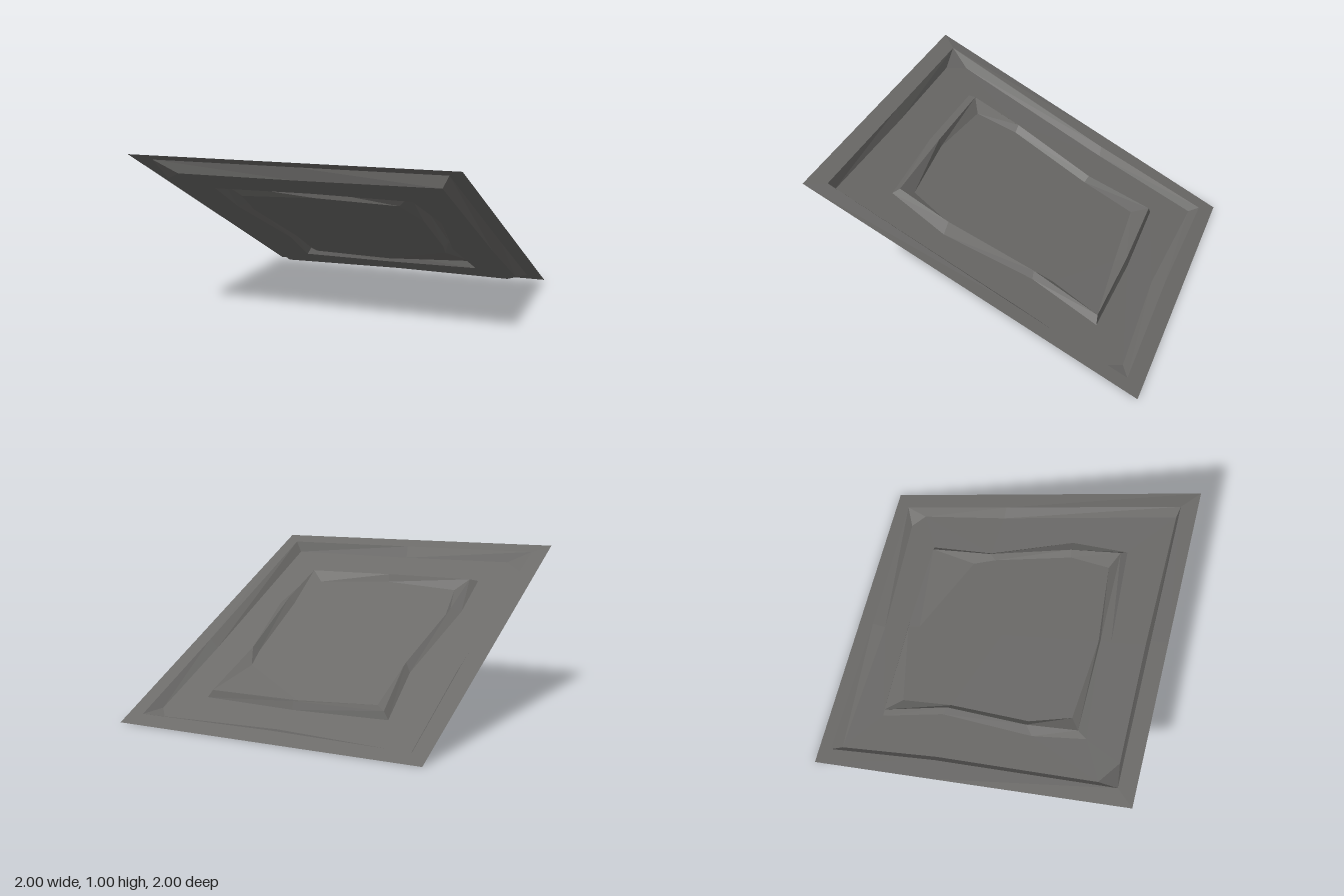
import * as THREE from 'three';

// Each loop runs clockwise from the back-left corner: [x, z] pairs seen from above.
const rimEdge = [[-1, -1], [0, -1], [1, -1], [1, -1], [1, -0.2], [1, 1], [0, 1], [-1, 1], [-1, 1], [-1, -0.2]];
const trayTop = [[-0.9, -0.915], [0, -0.9], [0.9, -0.91], [0.9, -0.91], [0.9, -0.2],
  [0.9, 0.9], [0, 0.9], [-0.9, 0.9], [-0.9, 0.9], [-0.88, -0.2]];
const trayFoot = [[-0.865, -0.85], [0, -0.815], [0.78, -0.85], [0.855, -0.77], [0.845, -0.2],
  [0.86, 0.89], [0, 0.88], [-0.74, 0.885], [-0.865, 0.79], [-0.845, -0.2]];
const ridgeFoot = [[-0.62, -0.635], [0, -0.65], [0.615, -0.635], [0.58, -0.22], [0.67, 0.3],
  [0.61, 0.65], [0, 0.68], [-0.62, 0.67], [-0.64, 0.35], [-0.565, -0.24]];
const ridgeCrest = [[-0.59, -0.63], [0, -0.64], [0.58, -0.63], [0.555, -0.22], [0.6, 0.3],
  [0.585, 0.61], [0, 0.615], [-0.585, 0.61], [-0.585, 0.3], [-0.53, -0.22]];
const centreEdge = [[-0.5, -0.53], [0.02, -0.57], [0.5, -0.32], [0.53, -0.18], [0.565, 0.31],
  [0.5, 0.56], [0, 0.605], [-0.5, 0.56], [-0.55, 0.31], [-0.5, -0.2]];

// Puts a loop on the sloping plane, lowered by a depth
const place = (loop, depth) => loop.map(([x, z]) => [x, 0.5 + 0.5 * z - depth, z]);

// Faceted band between two loops
function band(outer, inner) {
  const pos = [];
  outer.forEach((a, i) => {
    const j = (i + 1) % outer.length;
    const b = outer[j], c = inner[i], d = inner[j];
    for (const tri of [[a, c, b], [b, c, d]]) {
      const [p, q, r] = tri.map((v) => new THREE.Vector3(...v));
      const area = q.clone().sub(p).cross(r.clone().sub(p)).length();
      if (area > 1e-7) pos.push(...tri.flat());
    }
  });
  const geo = new THREE.BufferGeometry();
  geo.setAttribute('position', new THREE.Float32BufferAttribute(pos, 3));
  geo.computeVertexNormals();
  return geo;
}

export function createModel() {
  const group = new THREE.Group();
  group.name = 'slopingPanel';
  const stone = new THREE.MeshStandardMaterial({ color: 0x6b6a68, side: THREE.DoubleSide });
  stone.name = 'darkStone';

  const edge = place(rimEdge, 0);
  const top = place(trayTop, 0);
  // The front lip is bent slightly upwards
  for (const p of top) if (p[2] > 0.8) p[1] += 0.012;
  const foot = place(trayFoot, 0.055);
  const ridgeBase = place(ridgeFoot, 0.057);
  const crest = place(ridgeCrest, 0.012);
  const centre = place(centreEdge, 0.057);
  const middle = place(centreEdge.map(() => [0, 0]), 0.057);

  const parts = {
    rim: [edge, top],
    trayWall: [top, foot],
    trayFloor: [foot, ridgeBase],
    ridgeOuterSlope: [ridgeBase, crest],
    ridgeInnerSlope: [crest, centre],
    centrePanel: [centre, middle],
  };
  for (const [name, [outer, inner]] of Object.entries(parts)) {
    const mesh = new THREE.Mesh(band(outer, inner), stone);
    mesh.name = name;
    group.add(mesh);
  }
  return group;
}
